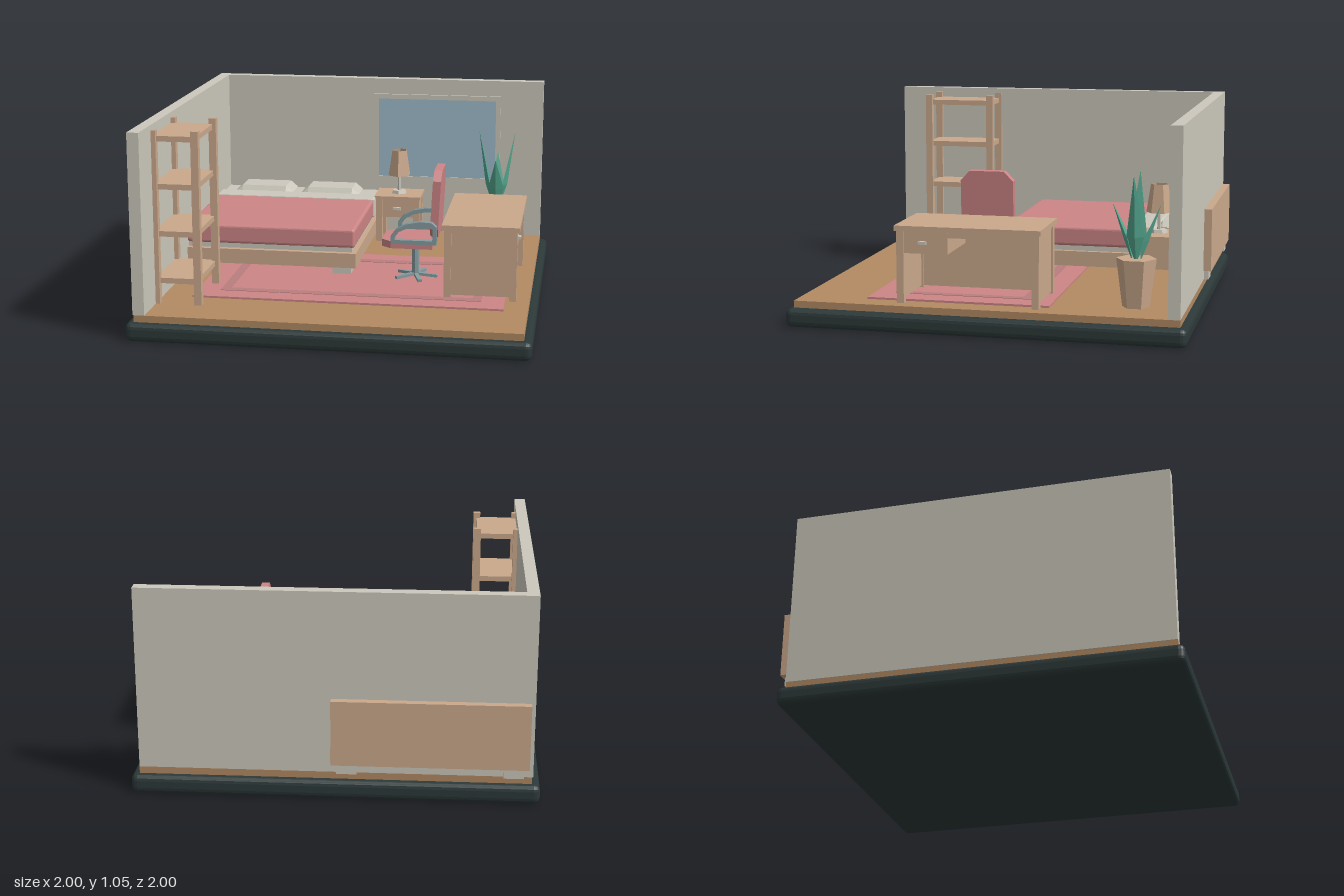
import * as THREE from 'three';
import { RoundedBoxGeometry } from 'three/addons/geometries/RoundedBoxGeometry.js';

const mat = (name, color, flat = true) => {
  const m = new THREE.MeshStandardMaterial({ color, side: THREE.DoubleSide, flatShading: flat });
  m.name = name;
  return m;
};
const M = {
  base: mat('charcoal', 0x2c3838),
  floor: mat('floor wood', 0xb28a62),
  wall: mat('off white', 0xccc8bc),
  wood: mat('light wood', 0xcba98c),
  pink: mat('pink fabric', 0xcd8586),
  stripe: mat('dusty stripe', 0xba7f7f),
  glass: mat('window blue', 0x9fbdcc),
  steel: mat('steel', 0x869ca0),
  leaf: mat('leaf green', 0x55a890),
};

export function createModel() {
  const root = new THREE.Group();
  root.name = 'bedroom';
  const group = (name, x = 0, y = 0, z = 0) => {
    const g = new THREE.Group();
    g.name = name;
    g.position.set(x, y, z);
    root.add(g);
    return g;
  };
  const add = (parent, name, geo, m) => {
    const mesh = new THREE.Mesh(geo, m);
    mesh.name = name;
    parent.add(mesh);
    return mesh;
  };
  // Box given by its minimum and maximum on each axis
  const box = (p, name, m, x0, x1, y0, y1, z0, z1, r = 0) => {
    const geo = r ? new RoundedBoxGeometry(x1 - x0, y1 - y0, z1 - z0, 2, r)
      : new THREE.BoxGeometry(x1 - x0, y1 - y0, z1 - z0);
    const mesh = add(p, name, geo, m);
    mesh.position.set((x0 + x1) / 2, (y0 + y1) / 2, (z0 + z1) / 2);
    return mesh;
  };
  const cyl = (p, name, m, rTop, rBottom, y0, y1, sides, open = false) => {
    const mesh = add(p, name, new THREE.CylinderGeometry(rTop, rBottom, y1 - y0, sides, 1, open), m);
    mesh.position.y = (y0 + y1) / 2;
    return mesh;
  };

  // Room shell
  const room = group('room');
  box(room, 'base', M.base, -1, 1, 0, 0.095, -0.995, 1, 0.03);
  box(room, 'floor', M.floor, -0.96, 0.96, 0.09, 0.13, -0.96, 0.965);
  box(room, 'leftWall', M.wall, -0.965, -0.905, 0.13, 1.047, -0.96, 0.965);
  box(room, 'backWall', M.wall, -0.905, 0.96, 0.13, 1.047, -0.96, -0.9);

  // Window: frame of four bars around the pane
  const win = group('window');
  box(win, 'pane', M.glass, -0.005, 0.69, 0.465, 0.935, -0.9, -0.892);
  for (const [y0, y1] of [[0.44, 0.467], [0.93, 0.957]])
    box(win, 'frameRail', M.wall, -0.03, 0.715, y0, y1, -0.9, -0.885);
  for (const [x0, x1] of [[-0.03, 0], [0.688, 0.715]])
    box(win, 'frameSide', M.wall, x0, x1, 0.467, 0.93, -0.9, -0.885);

  // Rug with an inset border stripe
  const rug = group('rug');
  box(rug, 'rugField', M.pink, -0.75, 0.84, 0.13, 0.14, -0.305, 0.62);
  for (const [z0, z1] of [[-0.19, -0.14], [0.46, 0.51]])
    box(rug, 'rugStripe', M.stripe, -0.63, 0.72, 0.138, 0.1425, z0, z1);
  for (const [x0, x1] of [[-0.63, -0.585], [0.675, 0.72]])
    box(rug, 'rugStripe', M.stripe, x0, x1, 0.138, 0.1425, -0.14, 0.46);

  // Bed
  const bed = group('bed');
  box(bed, 'headboard', M.wood, -0.945, 0.015, 0.18, 0.51, -1, -0.955);
  box(bed, 'bedFrame', M.wood, -0.93, 0.02, 0.178, 0.258, -0.96, 0.13);
  for (const x of [-0.92, -0.11]) for (const z of [-0.985, 0.01])
    box(bed, 'bedFoot', M.wall, x, x + 0.1, 0.13, 0.178, z, z + 0.1);
  box(bed, 'mattress', M.wall, -0.91, -0.005, 0.258, 0.375, -0.9, 0.1);
  box(bed, 'blanket', M.pink, -0.91, 0.012, 0.285, 0.388, -0.585, 0.12, 0.015);
  box(bed, 'sheetFold', M.wall, -0.91, 0.018, 0.285, 0.395, -0.7, -0.575, 0.01);
  // Pillows: boxes drawn in towards the top and bottom
  for (const x of [-0.66, -0.265]) {
    const geo = new THREE.BoxGeometry(0.345, 0.07, 0.2, 3, 2, 3);
    const p = geo.attributes.position;
    for (let i = 0; i < p.count; i++) {
      const edgeX = Math.abs(p.getX(i)) > 0.1, edgeZ = Math.abs(p.getZ(i)) > 0.06;
      let px = edgeX ? Math.sign(p.getX(i)) * 0.172 : Math.sign(p.getX(i)) * 0.13;
      let pz = edgeZ ? Math.sign(p.getZ(i)) * 0.1 : Math.sign(p.getZ(i)) * 0.075;
      if (Math.abs(p.getY(i)) > 0.01) { px = Math.sign(px) * 0.13; pz = Math.sign(pz) * 0.078; }
      else if (edgeX && edgeZ) { px *= 0.95; pz *= 0.9; }
      p.setXYZ(i, px, p.getY(i), pz);
    }
    add(bed, 'pillow', geo, M.wall).position.set(x, 0.385, -0.8);
  }

  // Nightstand
  const stand = group('nightstand');
  box(stand, 'standTop', M.wood, 0.01, 0.278, 0.383, 0.4, -0.85, -0.63);
  box(stand, 'standDrawer', M.wood, 0.025, 0.265, 0.275, 0.383, -0.84, -0.645);
  for (const x of [0.02, 0.235]) for (const z of [-0.845, -0.675])
    box(stand, 'standLeg', M.wood, x, x + 0.035, 0.13, 0.383, z, z + 0.035);
  box(stand, 'standHandle', M.wall, 0.12, 0.165, 0.32, 0.335, -0.645, -0.63);

  // Table lamp
  const lamp = group('lamp', 0.142, 0, -0.74);
  cyl(lamp, 'lampFoot', M.wall, 0.04, 0.046, 0.4, 0.418, 6);
  cyl(lamp, 'lampStem', M.wall, 0.01, 0.01, 0.418, 0.6, 6);
  cyl(lamp, 'lampShade', M.wood, 0.045, 0.068, 0.508, 0.655, 6, true);
  cyl(lamp, 'bulb', M.wall, 0.015, 0.022, 0.55, 0.61, 6);

  // Potted plant with four folded leaves
  const plant = group('plant', 0.71, 0, -0.71);
  cyl(plant, 'pot', M.wood, 0.1, 0.068, 0.13, 0.37, 6);
  for (let i = 0; i < 4; i++) {
    const tall = i % 2 === 0;
    const reach = tall ? 0.103 : 0.12, tipY = tall ? 0.787 : 0.642, midY = tall ? 0.48 : 0.46;
    const geo = new THREE.BufferGeometry();
    geo.setAttribute('position', new THREE.Float32BufferAttribute([
      0.015, 0.34, 0, 0.062, midY, 0, 0.035, midY, 0.045, 0.035, midY, -0.045, reach, tipY, 0], 3));
    geo.setIndex([0, 1, 2, 0, 3, 1, 1, 4, 2, 1, 3, 4, 0, 2, 3, 2, 4, 3]);
    geo.computeVertexNormals();
    add(plant, 'leaf', geo, M.leaf).rotation.y = i * Math.PI / 2;
  }

  // Desk, open towards +x
  const desk = group('desk');
  box(desk, 'deskTop', M.wood, 0.51, 0.905, 0.492, 0.518, -0.275, 0.46);
  for (const x of [0.523, 0.857]) for (const z of [-0.265, 0.415])
    box(desk, 'deskLeg', M.wood, x, x + 0.036, 0.13, 0.492, z, z + 0.036);
  for (const z of [-0.255, 0.425])
    box(desk, 'deskEndPanel', M.wood, 0.545, 0.87, 0.15, 0.492, z, z + 0.016);
  box(desk, 'deskBackPanel', M.wood, 0.533, 0.55, 0.15, 0.492, -0.24, 0.425);
  box(desk, 'deskRail', M.wood, 0.865, 0.883, 0.462, 0.492, -0.24, 0.2);
  box(desk, 'deskDrawer', M.wood, 0.55, 0.887, 0.38, 0.492, 0.192, 0.42);
  box(desk, 'deskHandle', M.wall, 0.887, 0.905, 0.428, 0.443, 0.298, 0.338);

  // Shelf rack
  const rack = group('shelfRack');
  for (const x of [-0.92, -0.705]) for (const z of [0.357, 0.722])
    box(rack, 'rackPost', M.wood, x, x + 0.038, 0.13, 1.02, z, z + 0.038);
  for (const y of [0.235, 0.478, 0.72, 0.963])
    box(rack, 'rackShelf', M.wood, -0.905, -0.685, y, y + 0.028, 0.372, 0.745);

  // Swivel chair, facing -x
  const chair = group('chair', 0, 0, 0.097);
  const slab = (pts, depth) => new THREE.ExtrudeGeometry(
    new THREE.Shape(pts.map(([a, b]) => new THREE.Vector2(a, b))), { depth, bevelEnabled: false });
  const seat = add(chair, 'seat', slab([[0.44, -0.135], [0.44, 0.135], [0.22, 0.135],
    [0.17, 0.09], [0.17, -0.09], [0.22, -0.135]], 0.038).rotateX(Math.PI / 2), M.pink);
  seat.position.y = 0.364;
  const back = add(chair, 'backrest', slab([[-0.09, 0], [0.09, 0], [0.137, 0.05], [0.137, 0.305],
    [0.09, 0.355], [-0.09, 0.355], [-0.137, 0.305], [-0.137, 0.05]], 0.042).rotateY(Math.PI / 2), M.pink);
  back.position.set(0.425, 0.388, 0);
  back.rotation.z = -0.05;
  box(chair, 'backSupport', M.steel, 0.425, 0.45, 0.33, 0.45, -0.03, 0.03);
  // Arm loops, swept flat bars
  const loop = new THREE.Shape();
  loop.moveTo(0.225, 0.36);
  for (const [x, y] of [[0.225, 0.4], [0.255, 0.44], [0.31, 0.468], [0.38, 0.482], [0.44, 0.478],
    [0.465, 0.455], [0.465, 0.36]]) loop.lineTo(x, y);
  const hole = new THREE.Path();
  hole.moveTo(0.246, 0.381);
  for (const [x, y] of [[0.444, 0.381], [0.444, 0.445], [0.43, 0.457], [0.38, 0.46], [0.315, 0.447],
    [0.268, 0.424], [0.246, 0.395]]) hole.lineTo(x, y);
  loop.holes.push(hole);
  for (const z of [-0.172, 0.138])
    add(chair, 'armrest', new THREE.ExtrudeGeometry(loop, { depth: 0.034, bevelEnabled: false }), M.steel)
      .position.z = z;
  cyl(chair, 'stem', M.steel, 0.02, 0.02, 0.155, 0.33, 8).position.x = 0.338;
  // Star foot
  for (let i = 0; i < 5; i++) {
    const spoke = new THREE.Group();
    spoke.name = 'starFoot';
    spoke.position.set(0.338, 0, 0);
    spoke.rotation.y = i * Math.PI * 0.4;
    chair.add(spoke);
    box(spoke, 'spoke', M.steel, 0, 0.118, 0.145, 0.16, -0.011, 0.011).rotation.z = -0.08;
  }
  return root;
}
